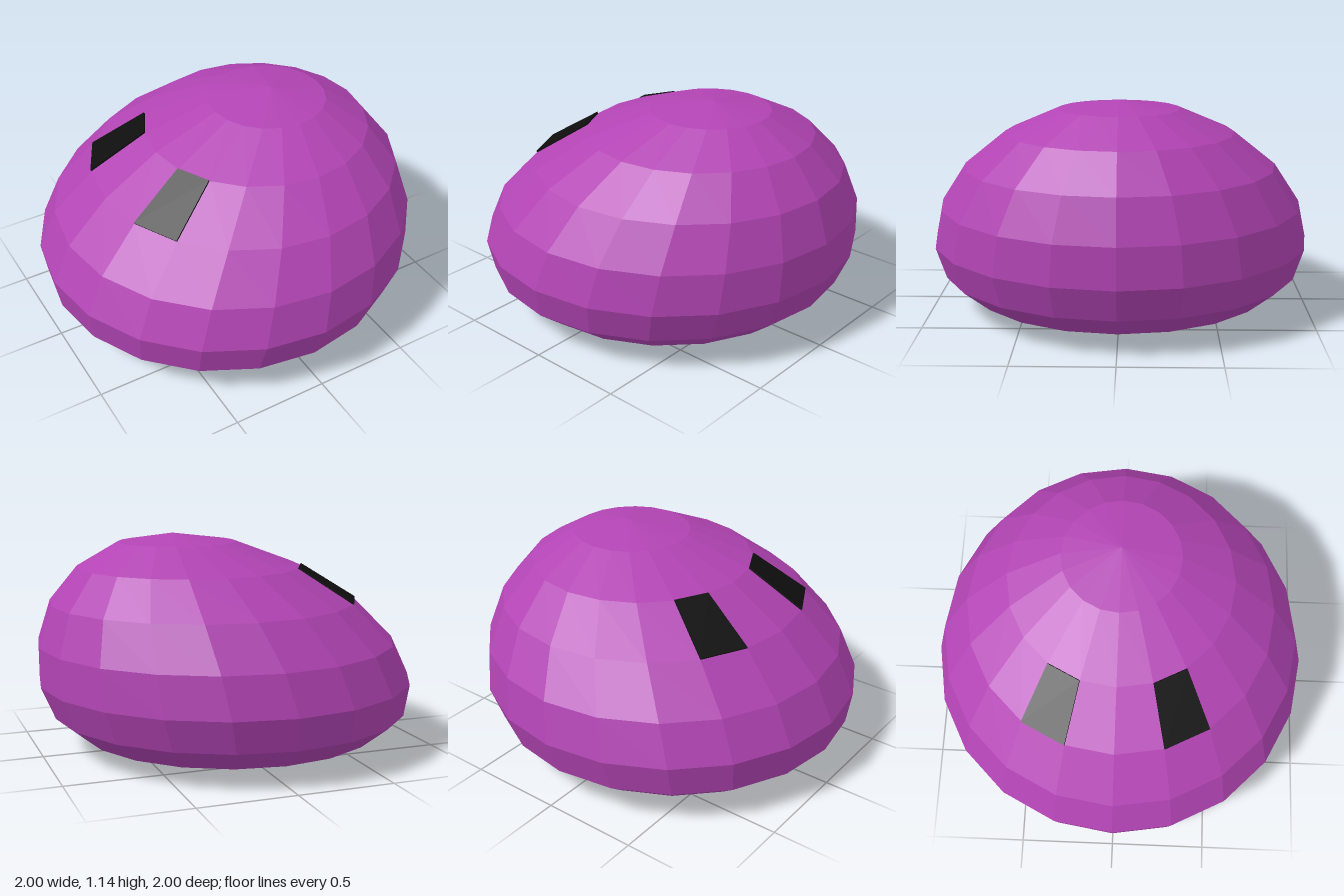
import * as THREE from 'three';

const SEGMENTS = 20;
// Rings from crown to base: [height, x offset of ring centre]
const RINGS = [
  [1.14, 0.29], [1.095, 0.265], [0.967, 0.2], [0.785, 0.125], [0.57, 0.05], [0.365, 0],
  [0.195, -0.024], [0.08, -0.022], [0.021, -0.005], [0.002, 0], [0, 0],
];
const ROWS = RINGS.length - 1;

// Point on the leaning shell for a ring number and an angle around y
function shellPoint(row, angle) {
  const r = Math.sin((Math.PI * row) / ROWS);
  const [y, cx] = RINGS[row];
  return new THREE.Vector3(cx + r * Math.cos(angle), y, r * Math.sin(angle));
}

// Sphere whose rings are shifted into a flattened, leaning dome
function bodyGeometry() {
  const geo = new THREE.SphereGeometry(1, SEGMENTS, ROWS);
  const pos = geo.attributes.position;
  for (let i = 0; i < pos.count; i++) {
    const [y, cx] = RINGS[Math.floor(i / (SEGMENTS + 1))];
    pos.setXYZ(i, pos.getX(i) + cx, y, pos.getZ(i));
  }
  geo.computeVertexNormals();
  return geo;
}

// Thin plate covering one facet of the shell
function eyeGeometry(side) {
  const a = side * 0.8 * Math.PI, b = side * 0.9 * Math.PI;
  let base = [shellPoint(3, a), shellPoint(3, b), shellPoint(2, b), shellPoint(2, a)];
  if (side < 0) base.reverse();
  const normal = () => base[1].clone().sub(base[0]).cross(base[2].clone().sub(base[0])).normalize();
  if (normal().y < 0) base.reverse();
  const n = normal();
  const top = base.map((p) => p.clone().addScaledVector(n, 0.0095));
  const geo = new THREE.BufferGeometry().setFromPoints([...base, ...top]);
  const index = [4, 5, 6, 4, 6, 7, 0, 2, 1, 0, 3, 2];
  for (let i = 0; i < 4; i++) {
    const j = (i + 1) % 4;
    index.push(i, j, j + 4, i, j + 4, i + 4);
  }
  geo.setIndex(index);
  const flat = geo.toNonIndexed();
  flat.computeVertexNormals();
  return flat;
}

export function createModel() {
  const purple = new THREE.MeshStandardMaterial({ color: 0xb244b4, flatShading: true });
  purple.name = 'purple';
  const black = new THREE.MeshStandardMaterial({ color: 0x0e0e0e, flatShading: true });
  black.name = 'black';

  const model = new THREE.Group();
  model.name = 'domeCreature';

  const body = new THREE.Mesh(bodyGeometry(), purple);
  body.name = 'body';
  model.add(body);

  // Pair of eyes on the sloping -x side
  for (const side of [1, -1]) {
    const eye = new THREE.Mesh(eyeGeometry(side), black);
    eye.name = side > 0 ? 'eyeFront' : 'eyeBack';
    model.add(eye);
  }
  return model;
}
